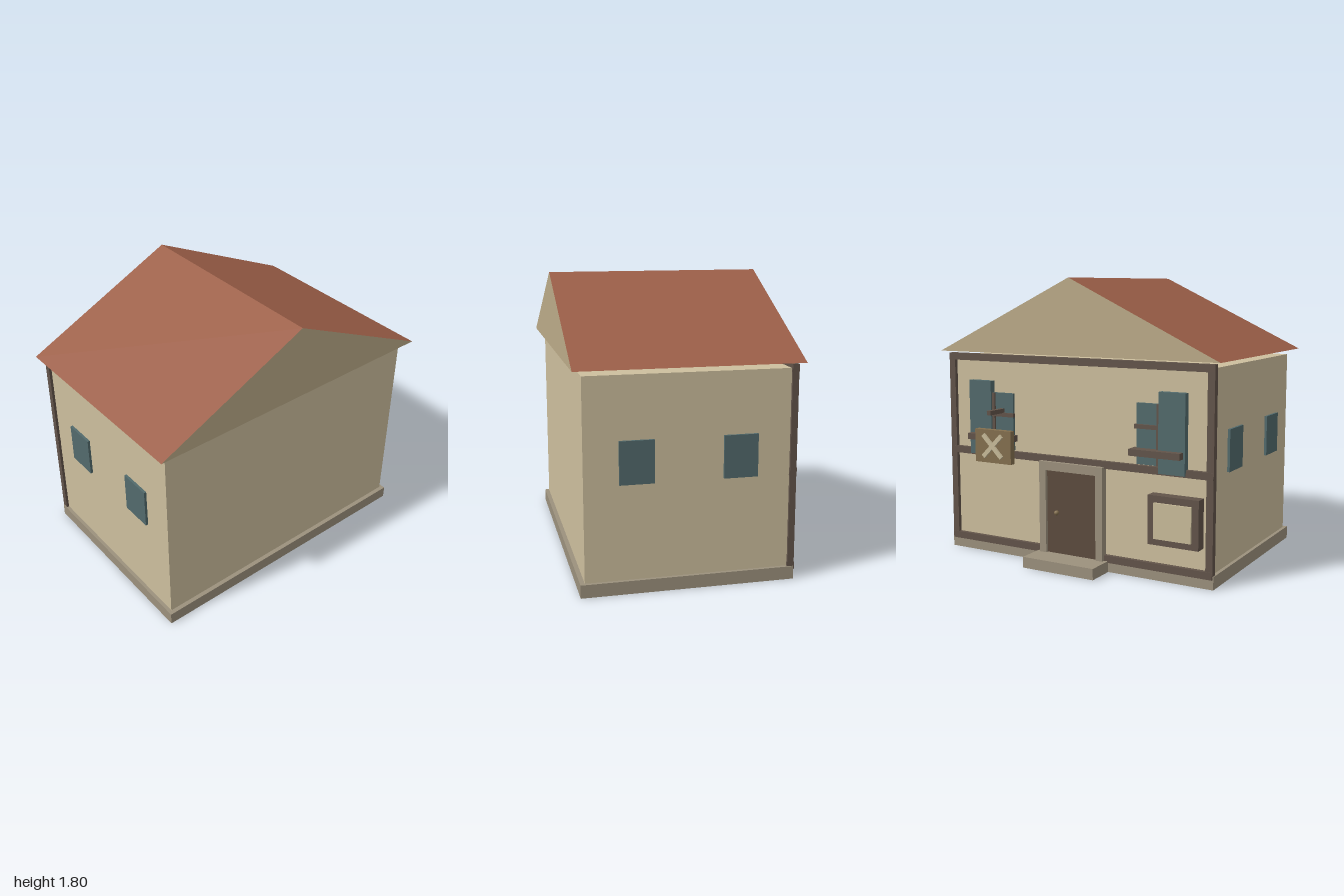
import * as THREE from 'three';

const mat = (color) => new THREE.MeshStandardMaterial({ color });

export function createModel() {
  const house = new THREE.Group();
  const plaster = mat(0xcdbf9e), gable = mat(0xbcab88), tile = mat(0x9c5f48);
  const timber = mat(0x62544a), stone = mat(0x9c917d), glass = mat(0x526a6c);
  const doorWood = mat(0x5c4b3e), signWood = mat(0x84704f), pale = mat(0xc9bc9a);

  // Box given by its limits on each axis
  function block(name, material, [x0, x1], [y0, y1], [z0, z1], parent = house) {
    const mesh = new THREE.Mesh(new THREE.BoxGeometry(x1 - x0, y1 - y0, z1 - z0), material);
    mesh.position.set((x0 + x1) / 2, (y0 + y1) / 2, (z0 + z1) / 2);
    mesh.name = name;
    parent.add(mesh);
    return mesh;
  }
  // Same box on the left (+x) or right (-x) side
  const sided = (s, a, b) => (s > 0 ? [a, b] : [-b, -a]);

  // Foundation, step and walls
  block('foundation', stone, [-0.96, 0.96], [0, 0.08], [-0.57, 0.725]);
  block('doorStep', stone, [-0.255, 0.255], [0, 0.07], [-0.755, -0.565]);
  block('walls', plaster, [-0.938, 0.938], [0.08, 1.293], [-0.55, 0.697]);

  // Gabled roof: plaster ends, tiled slopes
  const profile = new THREE.Shape([
    new THREE.Vector2(-1, 1.33), new THREE.Vector2(1, 1.33), new THREE.Vector2(0, 1.805),
  ]);
  const roofGeometry = new THREE.ExtrudeGeometry(profile, { depth: 1.36, bevelEnabled: false });
  const roof = new THREE.Mesh(roofGeometry, [gable, tile]);
  roof.position.z = -0.605;
  roof.name = 'roof';
  house.add(roof);

  // Timber frame of the entrance wall
  for (const [y0, y1] of [[0.06, 0.105], [0.65, 0.695], [1.272, 1.317]])
    block('timberBeam', timber, [-0.953, 0.953], [y0, y1], [-0.577, -0.533]);

  for (const s of [1, -1]) {
    block('timberPost', timber, sided(s, 0.91, 0.955), [0.06, 1.315], [-0.574, -0.535]);

    // Side windows
    for (const z of [0.388, -0.232])
      block('sideWindow', glass, sided(s, 0.93, 0.954), [0.658, 0.916], [z - 0.103, z + 0.103]);

    // Upper window with bars, sill and one shutter
    const win = new THREE.Group();
    win.name = 'upperWindow';
    house.add(win);
    block('pane', glass, sided(s, 0.45, 0.75), [0.7, 1.07], [-0.567, -0.545], win);
    block('mullion', timber, sided(s, 0.588, 0.612), [0.7, 1.07], [-0.58, -0.56], win);
    block('transom', timber, sided(s, 0.44, 0.76), [0.917, 0.943], [-0.582, -0.56], win);
    block('shutter', glass, sided(s, 0.607, 0.78), [0.66, 1.145], [-0.592, -0.547], win);
    block('sill', timber, sided(s, 0.43, 0.767), [0.76, 0.8], [-0.637, -0.545], win);
  }

  // Door with stone surround and knob
  for (const s of [1, -1])
    block('doorJamb', stone, sided(s, 0.182, 0.23), [0.07, 0.66], [-0.602, -0.545]);
  block('doorLintel', stone, [-0.182, 0.182], [0.605, 0.66], [-0.602, -0.545]);
  block('door', doorWood, [-0.182, 0.182], [0.07, 0.605], [-0.582, -0.545]);
  const knob = new THREE.Mesh(new THREE.SphereGeometry(0.016, 12, 8), signWood);
  knob.position.set(0.11, 0.334, -0.588);
  knob.name = 'doorKnob';
  house.add(knob);

  // Notice board
  block('boardFrame', timber, [-0.885, -0.555], [0.235, 0.535], [-0.621, -0.548]);
  block('boardPanel', pale, [-0.842, -0.598], [0.275, 0.493], [-0.634, -0.615]);

  // Hanging sign with crossed bars and its bracket
  block('signArm', timber, [0.519, 0.55], [0.942, 0.97], [-0.712, -0.55]);
  block('signBoard', signWood, [0.396, 0.675], [0.628, 0.842], [-0.675, -0.635]);
  for (const s of [1, -1]) {
    const bar = block('signCross', pale, [0.435, 0.635], [0.724, 0.752], [-0.688, -0.67]);
    bar.rotation.z = s * Math.PI / 4;
  }

  return house;
}
